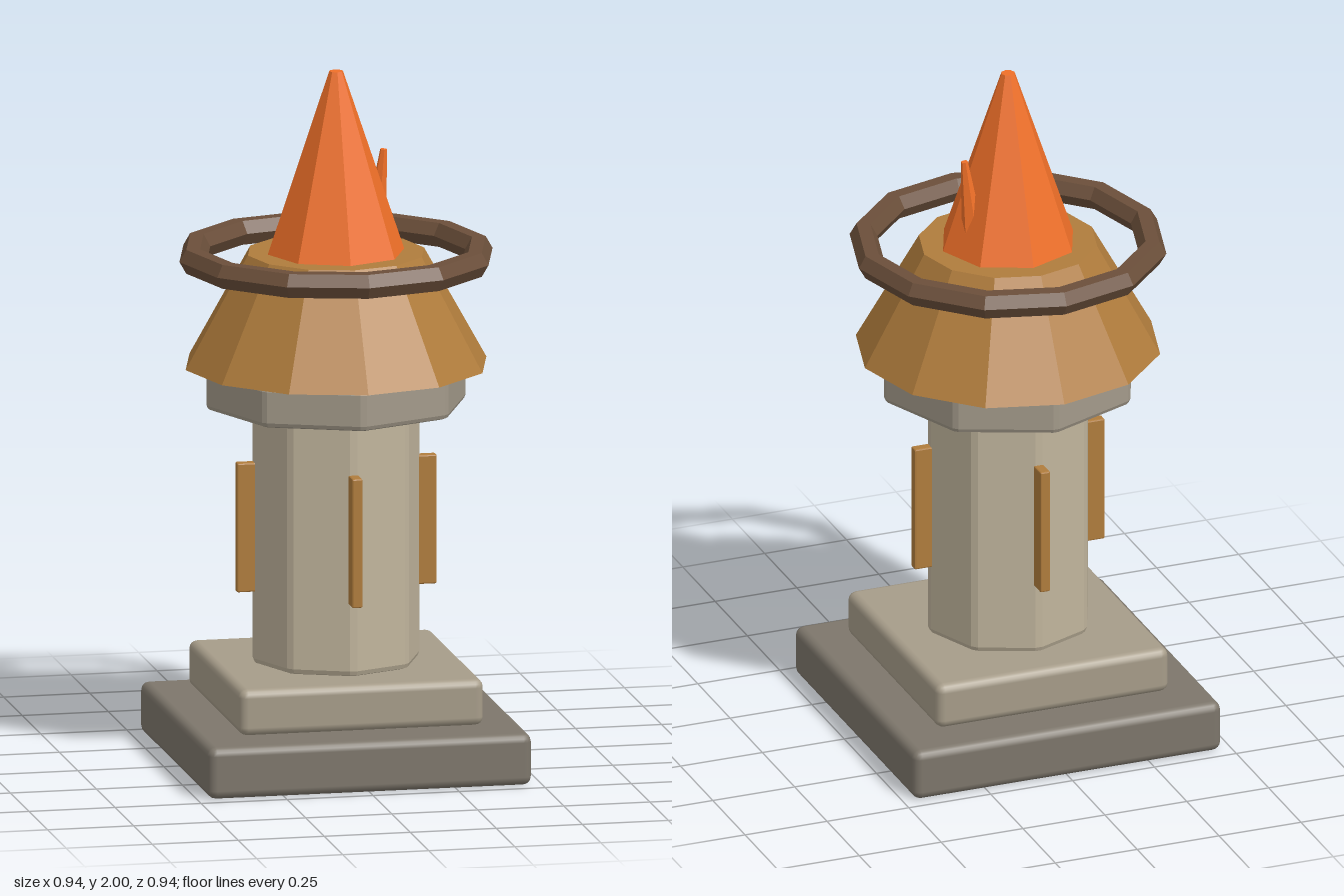
import * as THREE from 'three';
import { RoundedBoxGeometry } from 'three/addons/geometries/RoundedBoxGeometry.js';

const mat = (color, flatShading = true) => new THREE.MeshStandardMaterial({ color, flatShading });

// Octagonal prism with corners on the axes and all edges chamfered, standing on y = 0
function chamferedOctagon(radius, height, bevel) {
  const cut = (bevel * 0.6) / radius;
  const points = [];
  for (let i = 0; i < 8; i++) {
    for (const side of [-1, 1]) {
      const a = (i * Math.PI) / 4 + side * cut;
      points.push(new THREE.Vector2(Math.cos(a) * radius, Math.sin(a) * radius));
    }
  }
  const geo = new THREE.ExtrudeGeometry(new THREE.Shape(points), {
    depth: height - 2 * bevel, bevelEnabled: true, bevelSize: bevel,
    bevelThickness: bevel, bevelOffset: -bevel, bevelSegments: 2,
  });
  return geo.translate(0, 0, bevel).rotateX(-Math.PI / 2);
}

export function createModel() {
  const group = new THREE.Group();
  const add = (name, geo, material, x = 0, y = 0, z = 0) => {
    const mesh = new THREE.Mesh(geo, material);
    mesh.name = name;
    mesh.position.set(x, y, z);
    group.add(mesh);
    return mesh;
  };

  const bronze = mat(0xb07c3c);
  const fire = mat(0xf07028);

  // Stepped stone foot
  add('basePlinth', new RoundedBoxGeometry(0.94, 0.15, 0.94, 2, 0.025), mat(0x7d766b, false), 0, 0.075);
  add('upperPlinth', new RoundedBoxGeometry(0.71, 0.135, 0.71, 2, 0.025), mat(0xa69c89, false), 0, 0.222);

  // Octagonal shaft and the collar on top of it
  add('column', chamferedOctagon(0.24, 0.745, 0.018), mat(0xc0b49c), 0, 0.287);
  add('collar', chamferedOctagon(0.375, 0.12, 0.015), mat(0xa39a8a), 0, 1.03);

  // Bronze strips on the four corners facing the axes
  for (let i = 0; i < 4; i++) {
    const a = (i * Math.PI) / 2;
    const strip = add('columnStrip', new RoundedBoxGeometry(0.03, 0.375, 0.06, 1, 0.004), bronze,
      Math.sin(a) * 0.26, 0.687, Math.cos(a) * 0.26);
    strip.rotation.y = a;
  }

  // Fire bowl with the ring floating around its rim
  add('bowl', new THREE.CylinderGeometry(0.256, 0.437, 0.325, 12), bronze, 0, 1.3125);
  add('bowlRing', new THREE.TorusGeometry(0.415, 0.04, 6, 12).rotateX(Math.PI / 2), mat(0x6b4f3a), 0, 1.465);

  // Main flame
  add('flame', new THREE.CylinderGeometry(0.02, 0.2, 0.53, 8), fire, 0, 1.735);

  // Small leaning flame on the left side
  const from = new THREE.Vector3(0.12, 1.5, -0.042);
  const to = new THREE.Vector3(0.145, 1.76, -0.03);
  const dir = to.clone().sub(from);
  const mid = from.clone().add(to).multiplyScalar(0.5);
  const small = add('smallFlame', new THREE.CylinderGeometry(0.01, 0.036, dir.length(), 6), fire, mid.x, mid.y, mid.z);
  small.quaternion.setFromUnitVectors(new THREE.Vector3(0, 1, 0), dir.normalize());

  return group;
}
